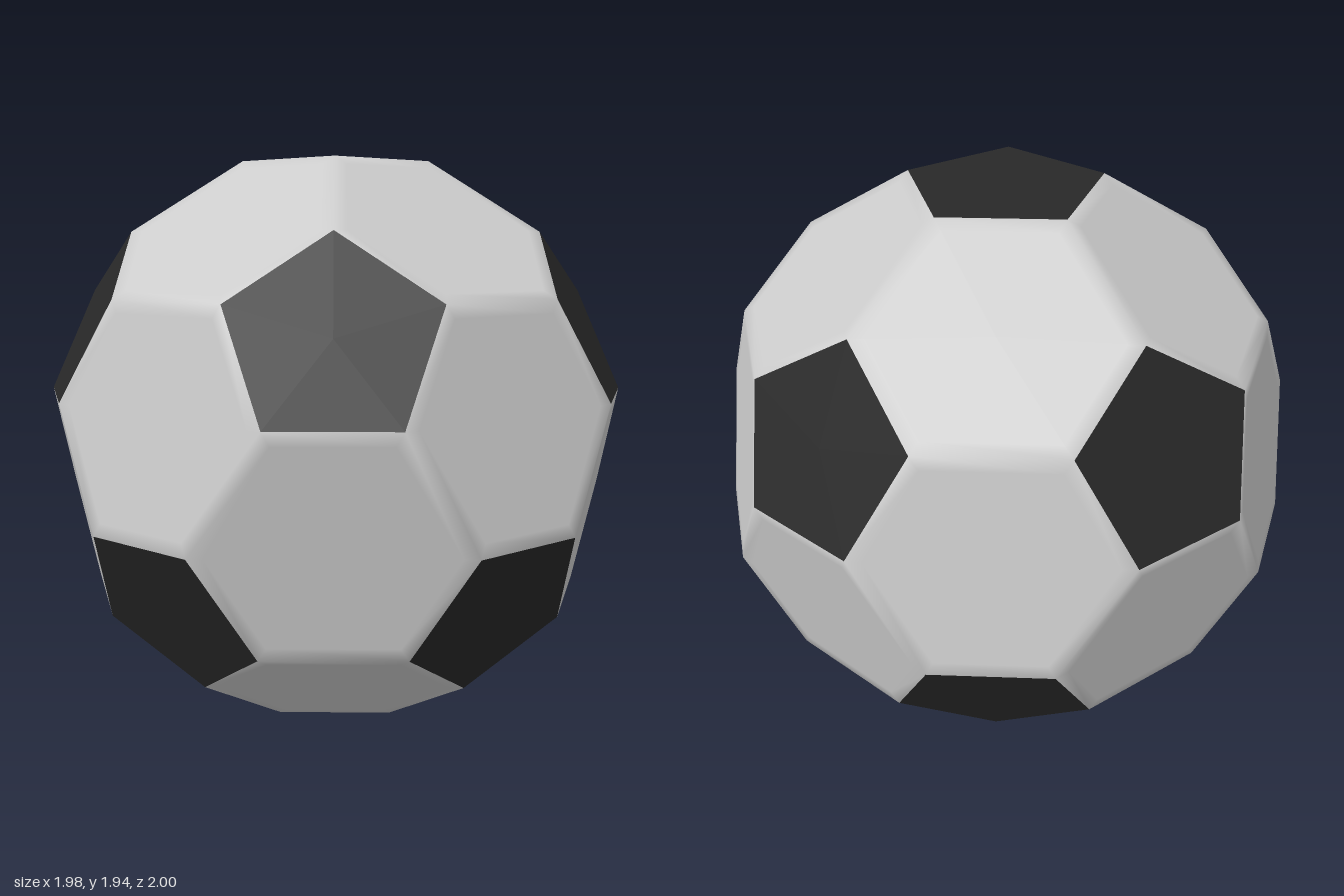
import * as THREE from 'three';

const EDGE = 1.236;   // edge of the uncut icosahedron
const CUT = 0.392;    // length cut off each corner = side of a dark panel
const RIM = 0.05;     // width of the softly shaded border of a light panel

const dark = new THREE.MeshStandardMaterial({ color: 0x282828 });
const light = new THREE.MeshStandardMaterial({ color: 0xcccccc });

// Icosahedron standing on a corner
function icosahedronCorners() {
  const R = EDGE * 0.951057, h = R / Math.sqrt(5);
  const corners = [new THREE.Vector3(0, R, 0), new THREE.Vector3(0, -R, 0)];
  for (let k = 0; k < 5; k++) {
    const a = k * Math.PI * 0.4, b = a + Math.PI * 0.2;
    corners.push(new THREE.Vector3(2 * h * Math.cos(a), h, 2 * h * Math.sin(a)));
    corners.push(new THREE.Vector3(2 * h * Math.cos(b), -h, 2 * h * Math.sin(b)));
  }
  return corners;
}

const centreOf = (pts) => pts.reduce((s, p) => s.add(p), new THREE.Vector3()).divideScalar(pts.length);

// Convex flat panel; the outer rim (if any) blends its normals to the ball's radial direction
function panel(name, points, material, rim) {
  const centre = centreOf(points), normal = centre.clone().normalize();
  const u = points[0].clone().sub(centre).normalize();
  const v = normal.clone().cross(u);
  const angle = (p) => {
    const d = p.clone().sub(centre);
    return Math.atan2(d.dot(v), d.dot(u));
  };
  const ring = [...points].sort((a, b) => angle(a) - angle(b));
  const pos = [], nor = [];
  const tri = (...corners) => corners.forEach(([p, n]) => {
    pos.push(...p.toArray());
    nor.push(...n.toArray());
  });
  const shrink = 1 - rim / centre.distanceTo(ring[0]);
  const inner = ring.map((p) => [centre.clone().lerp(p, shrink), normal]);
  const outer = ring.map((p) => [p, p.clone().normalize()]);
  ring.forEach((_, i) => {
    const j = (i + 1) % ring.length;
    tri([centre, normal], inner[i], inner[j]);
    if (rim > 0) {
      tri(inner[i], outer[i], outer[j]);
      tri(inner[i], outer[j], inner[j]);
    }
  });
  const geometry = new THREE.BufferGeometry();
  geometry.setAttribute('position', new THREE.Float32BufferAttribute(pos, 3));
  geometry.setAttribute('normal', new THREE.Float32BufferAttribute(nor, 3));
  const mesh = new THREE.Mesh(geometry, material);
  mesh.name = name;
  return mesh;
}

export function createModel() {
  const ball = new THREE.Group();
  ball.name = 'ball';
  const corners = icosahedronCorners();
  const near = (a, b) => a !== b && a.distanceTo(b) < EDGE * 1.1;
  const cut = (a, b) => a.clone().lerp(b, CUT / EDGE);

  // Dark five-sided panels where the corners are cut off
  corners.forEach((c) => {
    const points = corners.filter((o) => near(c, o)).map((o) => cut(c, o));
    ball.add(panel('darkPanel', points, dark, 0));
  });

  // Light six-sided panels left over from the triangles
  corners.forEach((a, i) => corners.forEach((b, j) => corners.forEach((c, k) => {
    if (i < j && j < k && near(a, b) && near(b, c) && near(a, c)) {
      const points = [cut(a, b), cut(b, a), cut(b, c), cut(c, b), cut(c, a), cut(a, c)];
      ball.add(panel('lightPanel', points, light, RIM));
    }
  })));

  // Rest the bottom panel on the ground
  ball.position.y = EDGE * 0.951057 - CUT * 0.525731;
  const model = new THREE.Group();
  model.name = 'panelledBall';
  model.add(ball);
  return model;
}
